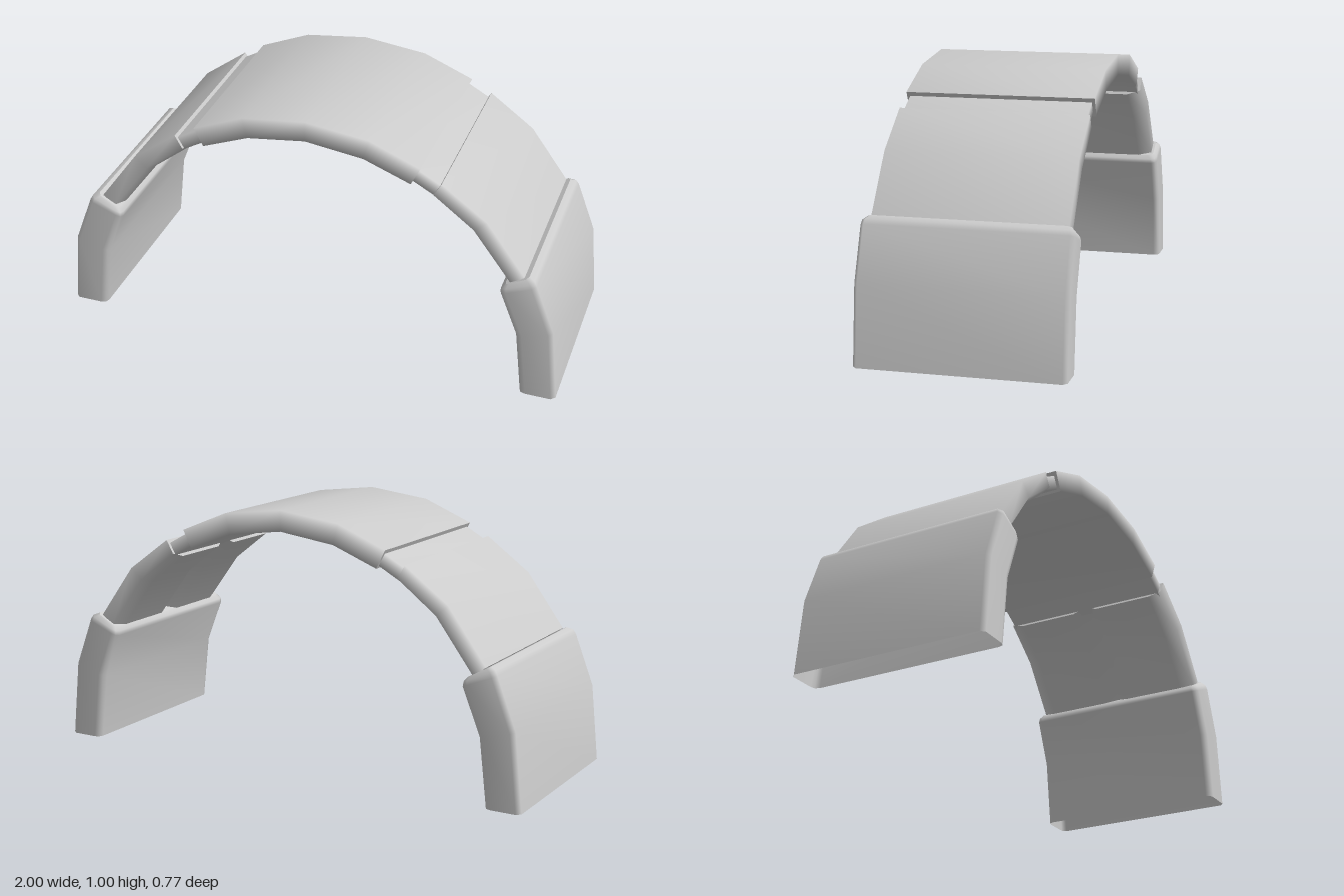
import * as THREE from 'three';

const material = new THREE.MeshStandardMaterial({ color: 0xcccccc, side: THREE.DoubleSide });

// Cross-sections as [t, s]: t runs 0 outer face to 1 inner face, s runs -1 to 1 across the band.
const plain = [[0, 1], [0, -1], [1, -1], [1, 1]];
const grooved = [[0, 1], [0, -1], [0.75, -1], [1, -0.85], [1, -0.15], [0.6, 0], [1, 0.15], [1, 0.85], [0.75, 1]];
const rounded = [[0.12, 1], [0, 0.96], [0, -0.96], [0.12, -1], [0.82, -1], [0.95, -0.985], [1, -0.94],
  [1, 0.94], [0.95, 0.985], [0.82, 1]];

// Sweeps a section through stations [outerX, outerY, innerX, innerY, halfDepth], listed from +x to -x.
function loft(name, section, stations, capStart = true, capEnd = true) {
  const n = section.length;
  const positions = [];
  const index = [];
  const ringAt = ([ox, oy, ix, iy, h]) =>
    section.map(([t, s]) => [ox + (ix - ox) * t, oy + (iy - oy) * t, h * s]);
  stations.forEach((station, i) => {
    positions.push(...ringAt(station).flat());
    if (i === stations.length - 1) return;
    for (let j = 0; j < n; j++) {
      const a = i * n + j;
      const b = i * n + (j + 1) % n;
      index.push(a, b, a + n, b, b + n, a + n);
    }
  });
  // End caps keep their own vertices so their edges stay sharp.
  const addCap = (station, flip) => {
    const [ox, oy, ix, iy] = station;
    const c = positions.length / 3;
    positions.push((ox + ix) / 2, (oy + iy) / 2, 0, ...ringAt(station).flat());
    for (let j = 0; j < n; j++) {
      const a = c + 1 + j;
      const b = c + 1 + (j + 1) % n;
      index.push(c, flip ? b : a, flip ? a : b);
    }
  };
  if (capStart) addCap(stations[0], true);
  if (capEnd) addCap(stations[stations.length - 1], false);
  const geometry = new THREE.BufferGeometry();
  geometry.setAttribute('position', new THREE.Float32BufferAttribute(positions, 3));
  geometry.setIndex(index);
  geometry.computeVertexNormals();
  const mesh = new THREE.Mesh(geometry, material);
  mesh.name = name;
  return mesh;
}

const mirror = (stations) => stations.map(([ox, oy, ix, iy, h]) => [-ox, oy, -ix, iy, h]).reverse();

export function createModel() {
  const group = new THREE.Group();
  group.name = 'segmentedArchBand';

  // Crown plate over the top of the arch
  const crown = [[0.44, 0.89, 0.405, 0.82, 0.355], [0.245, 0.97, 0.225, 0.89, 0.355], [0, 1, 0, 0.92, 0.355]];
  group.add(loft('crownPlate', plain, [...crown, ...mirror(crown).slice(1)]));

  // Parts repeated on both sides: cuffs are open at the foot
  const cuff = [
    [1, 0, 0.86, 0, 0.383],
    [0.97, 0.295, 0.83, 0.26, 0.383],
    [0.895, 0.49, 0.76, 0.435, 0.383],
    [0.885, 0.507, 0.762, 0.452, 0.379],
    [0.862, 0.516, 0.775, 0.468, 0.365],
  ];
  const sidePanel = [
    [0.845, 0.51, 0.78, 0.46, 0.355],
    [0.695, 0.715, 0.63, 0.66, 0.355],
    [0.52, 0.843, 0.482, 0.775, 0.355],
  ];
  const link = [[0.535, 0.818, 0.51, 0.773, 0.343], [0.405, 0.89, 0.38, 0.845, 0.343]];

  for (const [side, place] of [['left', (s) => s], ['right', mirror]]) {
    const isLeft = side === 'left';
    group.add(loft(side + 'Cuff', rounded, place(cuff), !isLeft, isLeft));
    group.add(loft(side + 'Panel', grooved, place(sidePanel)));
    group.add(loft(side + 'Link', plain, place(link)));
  }
  return group;
}
